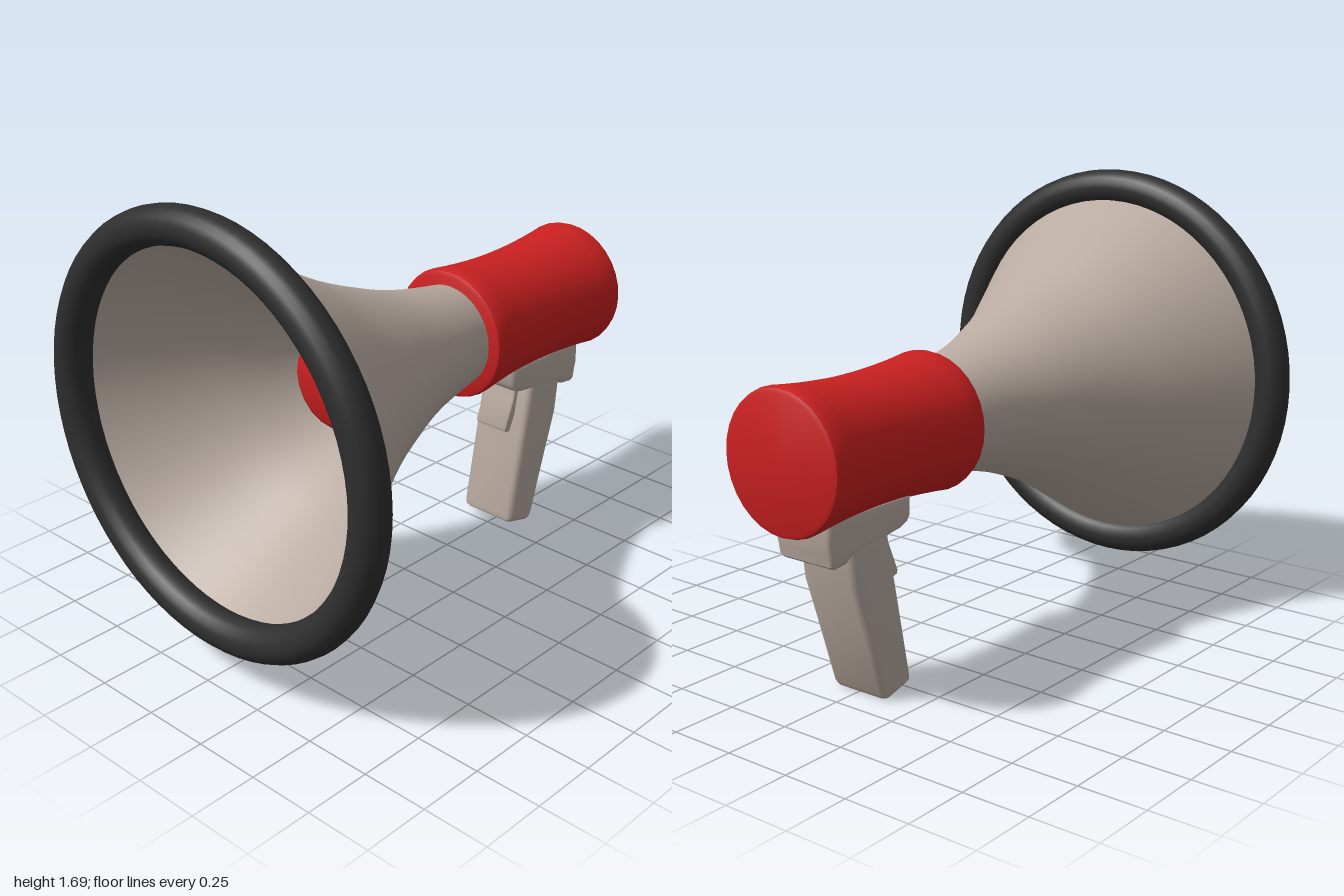
import * as THREE from 'three';
import { toCreasedNormals } from 'three/addons/utils/BufferGeometryUtils.js';

const AXIS_X = -0.01, AXIS_Y = 0.902;

function material(name, color, side = THREE.FrontSide) {
  const m = new THREE.MeshStandardMaterial({ color, side });
  m.name = name;
  return m;
}

export function createModel() {
  const beige = material('warm beige', 0xb8aaa0, THREE.DoubleSide);
  const red = material('bright red', 0xcb2020);
  const black = material('rubber black', 0x2e2e2f);
  const group = new THREE.Group();
  group.name = 'megaphone';

  function add(name, geometry, mat, x = 0, y = 0, z = 0) {
    const mesh = new THREE.Mesh(geometry, mat);
    mesh.name = name;
    mesh.position.set(x, y, z);
    group.add(mesh);
  }

  // Solid of revolution around the z axis from [radius, z] pairs
  function turned(points, segments) {
    const g = new THREE.LatheGeometry(points.map(([r, z]) => new THREE.Vector2(r, z)), segments);
    g.rotateX(Math.PI / 2);
    return g;
  }

  // Side outline of [z, y] pairs, extruded across x with rounded edges
  function slab(points, width, bevel) {
    const shape = new THREE.Shape(points.map(([z, y]) => new THREE.Vector2(-z, y)));
    const g = new THREE.ExtrudeGeometry(shape, {
      depth: width - 2 * bevel, bevelEnabled: true, bevelThickness: bevel,
      bevelSize: bevel, bevelOffset: -bevel, bevelSegments: 3,
    });
    g.translate(0, 0, -(width - 2 * bevel) / 2);
    g.rotateY(Math.PI / 2);
    return toCreasedNormals(g, 0.7);
  }

  // Flared horn
  const flare = new THREE.SplineCurve([
    [0.18, -0.4], [0.195, -0.25], [0.243, 0], [0.31, 0.2], [0.395, 0.4],
    [0.505, 0.6], [0.655, 0.865], [0.69, 0.93],
  ].map(([r, z]) => new THREE.Vector2(r, z)));
  add('horn', turned(flare.getPoints(32).map(p => [p.x, p.y]), 64), beige, AXIS_X / 2, AXIS_Y);

  // Rubber rim
  add('rim', new THREE.TorusGeometry(0.718, 0.0675, 20, 72), black, 0, AXIS_Y, 0.9325);

  // Waisted body with rounded ends
  const body = [[0, -1], [0.232, -1], [0.246, -0.994], [0.252, -0.975]];
  for (let i = 1; i < 12; i++) {
    const t = (i / 12) * 2 - 1;
    body.push([0.228 + 0.024 * t * t, -0.625 + 0.35 * t]);
  }
  body.push([0.252, -0.275], [0.246, -0.256], [0.232, -0.25], [0, -0.25]);
  add('body', toCreasedNormals(turned(body, 32), 0.7), red, AXIS_X, AXIS_Y);

  // Sound plug inside the horn
  const plug = [[0.18, -0.3], [0.172, 0.05], [0.18, 0.31], [0.177, 0.345], [0.166, 0.366], [0.145, 0.378], [0, 0.38]];
  add('innerPlug', toCreasedNormals(turned(plug, 20), 0.7), red, -0.015, AXIS_Y);

  // Handle mount under the body
  add('handleMount', slab([
    [-0.5, 0.715], [-0.5, 0.64], [-0.515, 0.615], [-0.55, 0.6], [-0.62, 0.59], [-0.79, 0.565],
    [-0.82, 0.545], [-0.875, 0.538], [-0.893, 0.55], [-0.9, 0.59], [-0.908, 0.62], [-0.908, 0.715],
  ], 0.25, 0.02), beige, AXIS_X);

  // Pistol grip
  add('grip', slab([
    [-0.62, 0.64], [-0.505, 0.06], [-0.506, 0.04], [-0.52, 0.028], [-0.615, 0.002], [-0.635, 0.004],
    [-0.65, 0.025], [-0.722, 0.25], [-0.785, 0.44], [-0.81, 0.64],
  ], 0.245, 0.025), beige, AXIS_X);

  // Trigger
  add('trigger', slab([
    [-0.575, 0.62], [-0.565, 0.55], [-0.518, 0.435], [-0.522, 0.42], [-0.545, 0.415],
    [-0.575, 0.48], [-0.59, 0.56], [-0.612, 0.62],
  ], 0.15, 0.006), beige, AXIS_X);

  return group;
}
